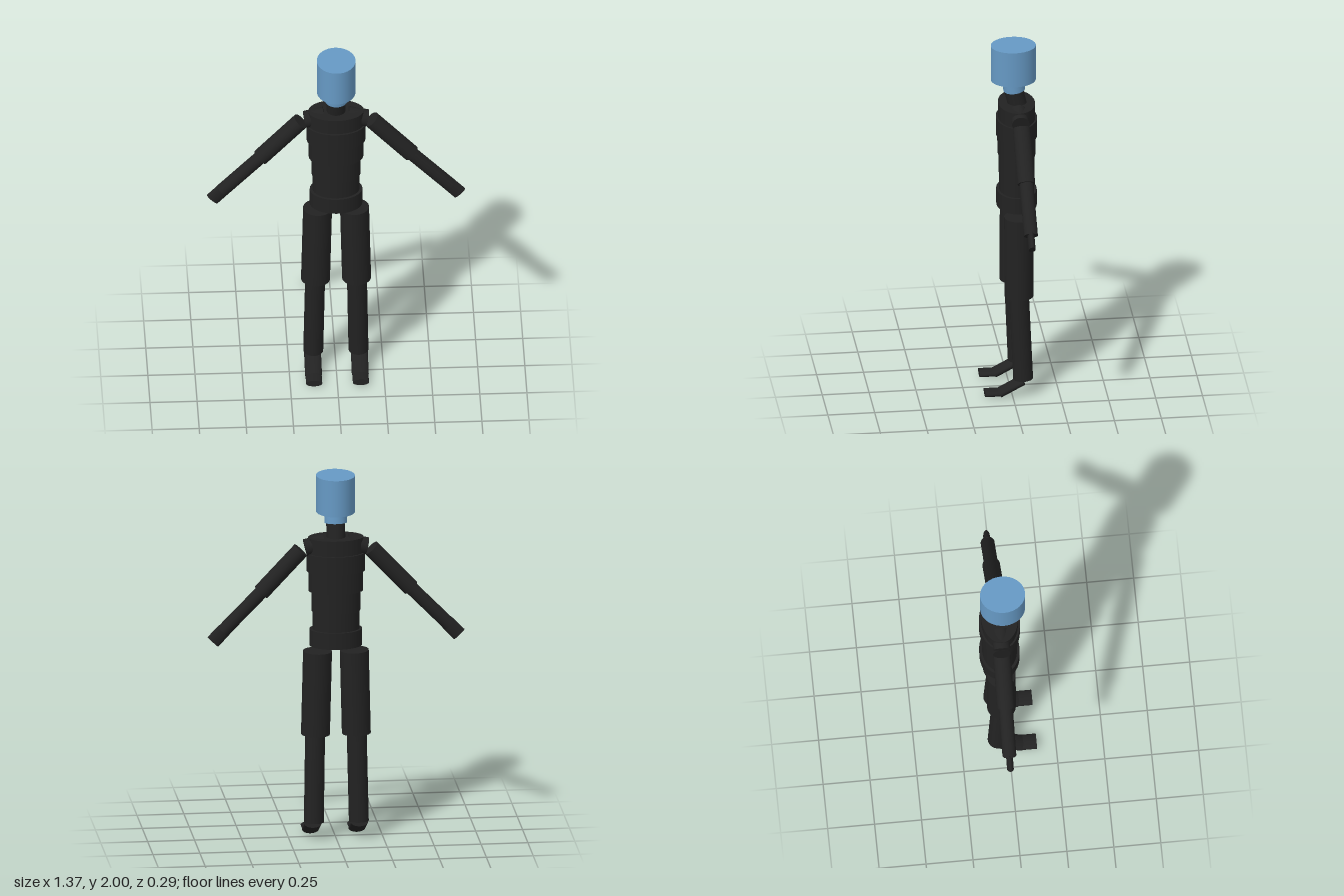
import * as THREE from 'three';

const UP = new THREE.Vector3(0, 1, 0);

// Capped elliptical cylinder from a to b; ru and rw are its half-widths across the axis
function segment(name, material, a, b, ru, rw) {
  const start = new THREE.Vector3(...a);
  const end = new THREE.Vector3(...b);
  const axis = end.clone().sub(start);
  const mesh = new THREE.Mesh(new THREE.CylinderGeometry(1, 1, 1, 32), material);
  mesh.name = name;
  mesh.scale.set(ru, axis.length(), rw);
  mesh.quaternion.setFromUnitVectors(UP, axis.normalize());
  mesh.position.copy(start).add(end).multiplyScalar(0.5);
  return mesh;
}

export function createModel() {
  const dark = new THREE.MeshStandardMaterial({ color: 0x222222 });
  dark.name = 'dark body';
  const blue = new THREE.MeshStandardMaterial({ color: 0x6699c4 });
  blue.name = 'blue head';

  const model = new THREE.Group();
  model.name = 'mannequin';

  // Head and neck
  model.add(
    segment('head', blue, [0, 1.8, -0.02], [0, 2, -0.02], 0.103, 0.12),
    segment('upperNeck', blue, [0, 1.74, -0.025], [0, 1.803, -0.018], 0.06, 0.058),
    segment('lowerNeck', dark, [0, 1.64, -0.045], [0, 1.745, -0.02], 0.05, 0.05),
  );

  // Torso: bottom, top, half-width, half-depth of each stacked ring
  const torso = [
    ['pelvis', 1.07, 1.16, 0.14, 0.107],
    ['waist', 1.155, 1.26, 0.125, 0.093],
    ['abdomen', 1.26, 1.37, 0.13, 0.095],
    ['lowerChest', 1.37, 1.48, 0.145, 0.1],
    ['midChest', 1.48, 1.58, 0.156, 0.109],
    ['upperChest', 1.58, 1.665, 0.148, 0.098],
  ];
  for (const [name, y0, y1, rx, rz] of torso) {
    model.add(segment(name, dark, [0, y0, -0.037], [0, y1, -0.037], rx, rz));
  }

  // Limbs, mirrored left and right
  for (const [side, s] of [['left', 1], ['right', -1]]) {
    const add = (part, a, b, ru, rw) => model.add(
      segment(side + part, dark, [s * a[0], a[1], a[2]], [s * b[0], b[1], b[2]], ru, rw),
    );
    add('Shoulder', [0.165, 1.61, -0.04], [0.06, 1.635, -0.04], 0.046, 0.046);
    add('UpperArm', [0.4, 1.372, -0.042], [0.188, 1.598, -0.042], 0.045, 0.047);
    add('Forearm', [0.603, 1.164, -0.042], [0.395, 1.377, -0.042], 0.036, 0.037);
    add('Hand', [0.657, 1.107, -0.042], [0.595, 1.172, -0.042], 0.039, 0.018);
    add('Thigh', [0.109, 0.58, -0.037], [0.098, 1.038, -0.037], 0.077, 0.077);
    add('Shin', [0.12, 0.1, -0.058], [0.111, 0.585, -0.037], 0.053, 0.053);
    add('Foot', [0.124, 0.024, 0.068], [0.124, 0.09, -0.056], 0.045, 0.023);
    add('Toes', [0.124, 0.027, 0.148], [0.124, 0.027, 0.065], 0.043, 0.018);
  }
  return model;
}
